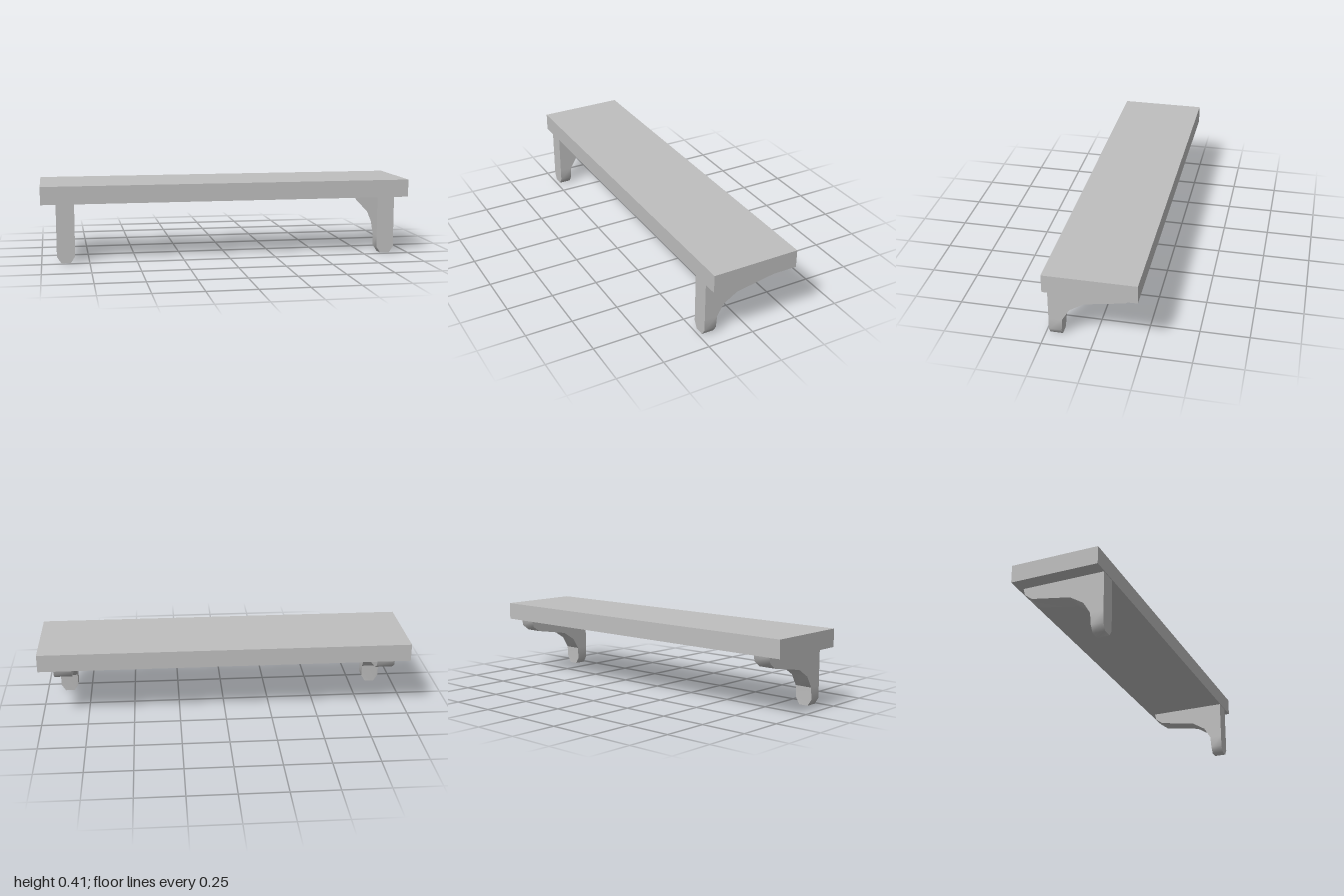
import * as THREE from 'three';
import { toCreasedNormals } from 'three/addons/utils/BufferGeometryUtils.js';

const CREASE = Math.PI / 3;
const WIDTH = 0.095, FRONT = 0.23, FOOT_BACK = 0.165, KNEE_BACK = 0.16, KNEE = 0.1;

const shapeOf = (pts) => new THREE.Shape(pts.map(([a, b]) => new THREE.Vector2(a, b)));

// Curved upper part: side profile (z, y) extruded across the width
function armGeometry() {
  const shape = shapeOf([
    [FRONT, 0.312], [-0.207, 0.312], [-0.198, 0.274], [-0.157, 0.244],
    [0.05, 0.208], [0.123, 0.162], [KNEE_BACK, KNEE], [FRONT, KNEE],
  ]);
  const g = new THREE.ExtrudeGeometry(shape, { depth: WIDTH, bevelEnabled: false });
  g.rotateY(-Math.PI / 2).translate(WIDTH / 2, 0, 0);
  return toCreasedNormals(g, CREASE);
}

// Chamfered lower part: front profile (x, y) extruded in depth, tapering to the arm
function footGeometry() {
  const w = WIDTH / 2, b = 0.025, c = 0.035;
  const shape = shapeOf([[-b, 0], [b, 0], [w, c], [w, KNEE], [-w, KNEE], [-w, c]]);
  const g = new THREE.ExtrudeGeometry(shape, { depth: FRONT - FOOT_BACK, bevelEnabled: false });
  g.translate(0, 0, FOOT_BACK);
  const p = g.attributes.position;
  for (let i = 0; i < p.count; i++) {
    if (p.getY(i) > 0.09 && p.getZ(i) < 0.2) p.setZ(i, KNEE_BACK);
  }
  return toCreasedNormals(g, CREASE);
}

export function createModel() {
  const model = new THREE.Group();
  model.name = 'shelf';
  const grey = new THREE.MeshStandardMaterial({ color: 0xbfbfbf });
  grey.name = 'grey';

  const add = (parent, name, geometry) => {
    const mesh = new THREE.Mesh(geometry, grey);
    mesh.name = name;
    parent.add(mesh);
    return mesh;
  };

  // Board
  add(model, 'board', new THREE.BoxGeometry(2, 0.095, 0.466)).position.y = 0.3585;

  // Pair of brackets
  const arm = armGeometry(), foot = footGeometry();
  for (const [name, side] of [['leftBracket', 1], ['rightBracket', -1]]) {
    const bracket = new THREE.Group();
    bracket.name = name;
    bracket.position.x = side * 0.873;
    add(bracket, 'bracketArm', arm);
    add(bracket, 'bracketFoot', foot);
    model.add(bracket);
  }
  return model;
}
